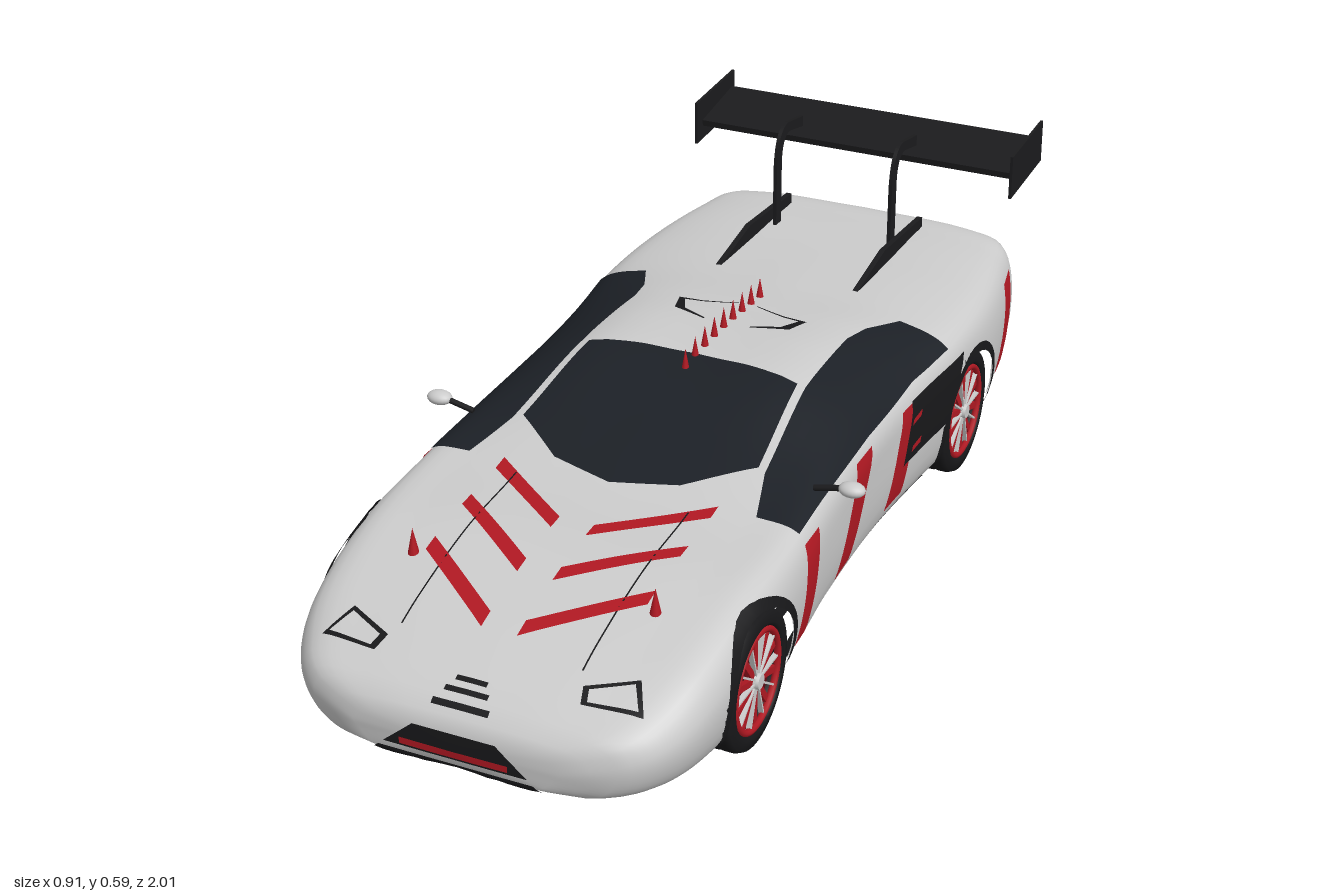
import * as THREE from 'three';

const TWO = THREE.DoubleSide;
const mat = (color, side = THREE.FrontSide) => new THREE.MeshStandardMaterial({ color, side });
const GREY = mat(0xcccccc), BLACK = mat(0x1b1b1d), RED = mat(0xb01822), DARK_RED = mat(0x5c0d14);
const GLASS2 = mat(0x1c2026, TWO), BLACK2 = mat(0x18181a, TWO), RED2 = mat(0xb01822, TWO), GREY2 = mat(0xcccccc, TWO);

// Body stations: z, half width, bottom, shoulder x/y, roof edge x/y, centre top
const STATIONS = [
  [1.0, .20, .085, .18, .145, .12, .157, .16],
  [.97, .30, .07, .28, .175, .18, .188, .191],
  [.9, .365, .06, .335, .205, .22, .222, .228],
  [.8, .397, .055, .365, .245, .24, .26, .265],
  [.62, .41, .05, .378, .288, .27, .302, .304],
  [.42, .405, .05, .38, .303, .28, .317, .322],
  [.25, .391, .05, .374, .313, .258, .349, .358],
  [.05, .383, .05, .371, .318, .228, .397, .404],
  [-.1, .385, .05, .372, .32, .222, .402, .41],
  [-.25, .396, .05, .38, .325, .235, .389, .40],
  [-.4, .41, .05, .392, .33, .28, .368, .385],
  [-.6, .41, .055, .385, .332, .29, .362, .372],
  [-.8, .38, .07, .352, .333, .27, .358, .366],
  [-.895, .345, .092, .32, .327, .24, .348, .355],
  [-.915, .29, .12, .27, .30, .2, .318, .323],
];
const WHEELS = [.62, -.47], AXLE = .135;

// Smooth interpolation of every station column at z
function sectionAt(z) {
  const S = STATIONS, n = S.length;
  let i = 0;
  while (i < n - 2 && z < S[i + 1][0]) i++;
  const h = S[i + 1][0] - S[i][0], t = (z - S[i][0]) / h;
  const slope = (k, c) => {
    const a = S[Math.max(k - 1, 0)], b = S[Math.min(k + 1, n - 1)];
    return (b[c] - a[c]) / (b[0] - a[0]);
  };
  return S[i].map((v, c) => (2 * t ** 3 - 3 * t * t + 1) * v + (t ** 3 - 2 * t * t + t) * h * slope(i, c)
    + (3 * t * t - 2 * t ** 3) * S[i + 1][c] + (t ** 3 - t * t) * h * slope(i + 1, c));
}

// Closed lofted shell
function bodyGeometry() {
  const rows = 140, half = 30, ring = half * 2, pos = [], idx = [];
  for (let i = 0; i <= rows; i++) {
    const z = 1 - 1.915 * i / rows;
    const [, W, B, sx, sy, rx, ry, T] = sectionAt(z);
    const widest = B + (sy - B) * .68;
    const pts = new THREE.CatmullRomCurve3([[0, B], [.8 * W, B], [.94 * W, B + .025], [W, widest], [sx, sy], [rx, ry], [0, T]]
      .map(([x, y]) => new THREE.Vector3(x, y, 0))).getPoints(half);
    for (let j = 0; j < ring; j++) {
      const p = pts[j <= half ? j : ring - j];
      pos.push(j <= half ? p.x : -p.x, p.y, z);
    }
  }
  for (let i = 0; i < rows; i++) for (let j = 0; j < ring; j++) {
    const a = i * ring + j, b = i * ring + (j + 1) % ring, c = a + ring, d = b + ring;
    idx.push(a, c, b, b, c, d);
  }
  const last = rows * ring, mid = pos.length / 3;
  pos.push(0, .122, 1.002, 0, .21, -.917);
  for (let j = 0; j < ring; j++) {
    const k = (j + 1) % ring;
    idx.push(mid, j, k, mid + 1, last + k, last + j);
  }
  const g = new THREE.BufferGeometry();
  g.setAttribute('position', new THREE.Float32BufferAttribute(pos, 3));
  g.setIndex(idx);
  g.computeVertexNormals();
  return g;
}

// The same shell with open wheel arches
function cutArches(g) {
  const out = g.clone(), p = g.attributes.position, src = g.index.array, keep = [];
  for (let i = 0; i < src.length; i += 3) {
    const v = [src[i], src[i + 1], src[i + 2]];
    const mean = f => (f(v[0]) + f(v[1]) + f(v[2])) / 3;
    const x = Math.abs(mean(k => p.getX(k))), y = mean(k => p.getY(k)), z = mean(k => p.getZ(k));
    if (!(x > .27 && WHEELS.some(w => Math.hypot(z - w, y - AXLE) < .142))) keep.push(...v);
  }
  out.setIndex(keep);
  return out;
}

export function createModel() {
  const root = new THREE.Group();
  const add = (name, geo, m, x = 0, y = 0, z = 0, parent = root) => {
    const o = new THREE.Mesh(geo, m);
    o.name = name;
    o.position.set(x, y, z);
    parent.add(o);
    return o;
  };
  const shell = bodyGeometry();
  add('body', cutArches(shell), GREY);

  // Panels laid onto the body: two edges are projected along an axis and joined by a grid
  const target = new THREE.Mesh(shell, GREY), ray = new THREE.Raycaster();
  const V = (x, y, z) => new THREE.Vector3(x, y, z);
  const AXES = {
    top: (u, v) => [V(u, 2, v), V(0, -1, 0)], under: (u, v) => [V(u, -2, v), V(0, 1, 0)],
    side: (u, v) => [V(2, v, u), V(-1, 0, 0)],
    front: (u, v) => [V(u, v, 2), V(0, 0, -1)], back: (u, v) => [V(u, v, -2), V(0, 0, 1)],
  };
  function panel(name, axis, A, B, m, { lift = .003, mirror = true, nu = 6, nv = 6 } = {}) {
    const pos = [], idx = [], cols = (A.length - 1) * nu;
    let prev = V(0, .2, 0);
    for (let i = 0; i <= cols; i++) {
      const s = Math.min(Math.floor(i / nu), A.length - 2), t = i / nu - s;
      const at = (E, c) => E[s][c] + (E[s + 1][c] - E[s][c]) * t;
      for (let j = 0; j <= nv; j++) {
        const mix = c => at(A, c) + (at(B, c) - at(A, c)) * j / nv;
        ray.set(...AXES[axis](mix(0), mix(1)));
        const hit = ray.intersectObject(target)[0];
        if (hit) prev = hit.point.clone().addScaledVector(hit.face.normal, lift);
        pos.push(prev.x, prev.y, prev.z);
        if (i < cols && j < nv) {
          const a = i * (nv + 1) + j, c = a + nv + 1;
          idx.push(a, a + 1, c, a + 1, c + 1, c);
        }
      }
    }
    const g = new THREE.BufferGeometry();
    g.setAttribute('position', new THREE.Float32BufferAttribute(pos, 3));
    g.setIndex(idx);
    g.computeVertexNormals();
    add(name, g, m);
    if (mirror) add(name, g, m).scale.x = -1;
  }
  const bar = (name, axis, w0, y0, w1, y1, m, lift = .003) =>
    panel(name, axis, [[-w0, y0], [w0, y0]], [[-w1, y1], [w1, y1]], m, { lift, mirror: false, nu: 16, nv: 3 });

  // Glass
  panel('windscreen', 'top', [[-.222, .03], [-.11, .015], [0, .01], [.11, .015], [.222, .03]],
    [[-.245, .27], [-.13, .365], [0, .4], [.13, .365], [.245, .27]], GLASS2, { mirror: false, nv: 16 });
  panel('sideWindow', 'top', [[.295, .395], [.262, .28], [.238, .03], [.233, -.2], [.245, -.27], [.285, -.36]],
    [[.378, .395], [.374, .28], [.369, .03], [.372, -.2], [.38, -.27], [.39, -.36]], GLASS2, { nv: 10 });

  // Side stripes, intake and sill
  for (const [a, b, c, d, top, low] of [[.40, .33, .46, .40, .29, .11], [.115, .035, .22, .14, .305, .11],
    [-.12, -.18, -.055, -.14, .30, .11], [-.74, -.82, -.645, -.725, .305, .14]])
    panel('sideStripe', 'side', [[a, top], [c, low]], [[b, top], [d, low]], RED2, { nu: 12, nv: 4 });
  panel('sideIntake', 'side', [[-.165, .305], [-.125, .18]], [[-.41, .305], [-.325, .18]], BLACK2, { lift: .005 });
  for (const y of [.21, .27])
    panel('intakeSlat', 'side', [[-.16, y], [-.2, y + .005]], [[-.155, y - .012], [-.195, y - .008]], RED2, { lift: .007 });
  panel('sill', 'side', [[-.3, .056], [.44, .056]], [[-.3, .066], [.44, .066]], BLACK2, { nu: 20, nv: 2 });

  // Bonnet stripes, shut lines, headlights and roof scoops
  for (const z of [.395, .525, .66])
    panel('bonnetStripe', 'top', [[.22, z], [.035, z + .135]], [[.22, z + .035], [.035, z + .17]], RED2, { nu: 12, nv: 3 });
  panel('bonnetLine', 'top', [[.175, .43], [.175, .86]], [[.178, .43], [.178, .86]], BLACK2, { nu: 24, nv: 1 });
  panel('headlightFrame', 'top', [[.19, .885], [.28, .845]], [[.2, .917], [.312, .905]], BLACK2, { lift: .002 });
  panel('headlight', 'top', [[.203, .889], [.275, .856]], [[.21, .911], [.3, .899]], GREY2, { lift: .005 });
  panel('roofScoop', 'top', [[.02, -.245], [.09, -.22], [.14, -.215], [.125, -.16], [.05, -.135]],
    [[.02, -.242], [.09, -.215], [.125, -.21], [.105, -.165], [.05, -.14]], BLACK2, { nv: 2 });

  // Nose, tail and underside trim
  bar('noseGrille', 'front', .14, .1, .08, .152, BLACK2);
  bar('noseBar', 'front', .105, .107, .105, .12, RED2, .007);
  bar('lowerGrille', 'front', .165, .078, .15, .09, BLACK2);
  for (const [z, w] of [[.925, .03], [.945, .042], [.968, .055]]) bar('noseVent', 'top', w, z, w, z + .009, BLACK2);
  bar('tailPanel', 'back', .3, .285, .285, .312, BLACK2, .004);
  bar('tailLight', 'back', .285, .298, .285, .306, RED2, .007);
  for (const y of [.14, .175]) bar('rearVent', 'back', .24, y, .24, y + .016, BLACK2, .004);
  panel('underStrip', 'under', [[.28, -.25], [.28, .4]], [[.305, -.28], [.305, .43]], BLACK2, { nu: 16, nv: 2 });
  for (const x of [.04, .12])
    panel('underSlot', 'under', [[x, -.5], [x, -.42]], [[x + .012, -.5], [x + .012, -.42]], BLACK2, { nv: 1 });

  // Wheels, with the outer face towards +x
  const tyre = new THREE.LatheGeometry([[.02, -.055], [.11, -.055], [.128, -.05], [.133, -.04], [.133, -.022], [.127, -.02],
    [.127, -.014], [.133, -.012], [.133, .012], [.127, .014], [.127, .02], [.133, .022], [.133, .04], [.128, .052],
    [.108, .056], [.1, .05], [.098, .03]].map(([r, y]) => new THREE.Vector2(r, y)), 48);
  const well = new THREE.CylinderGeometry(.146, .146, .13, 40, 1, true, -.5, Math.PI + 1).rotateZ(Math.PI / 2);
  for (const z of WHEELS) {
    for (const s of [1, -1]) {
      const wheel = new THREE.Group();
      wheel.name = 'wheel';
      wheel.position.set(s * .347, AXLE, z);
      wheel.rotation.y = s > 0 ? 0 : Math.PI;
      root.add(wheel);
      add('tyre', tyre, BLACK2, 0, 0, 0, wheel).rotation.z = -Math.PI / 2;
      add('rimBack', new THREE.CylinderGeometry(.099, .099, .01, 40), DARK_RED, .028, 0, 0, wheel).rotation.z = Math.PI / 2;
      add('rimRing', new THREE.TorusGeometry(.095, .007, 8, 48), RED, .048, 0, 0, wheel).rotation.y = Math.PI / 2;
      for (let k = 0; k < 20; k++) {
        const grey = k % 2, spoke = new THREE.BoxGeometry(.01, .078, grey ? .004 : .013).translate(0, .054, 0);
        add('spoke', spoke, grey ? GREY : RED, grey ? .046 : .042, 0, 0, wheel).rotation.x = k * Math.PI / 10;
      }
      add('hub', new THREE.CylinderGeometry(.014, .019, .024, 20), GREY, .045, 0, 0, wheel).rotation.z = -Math.PI / 2;
      add('wheelWell', well, BLACK2, s * .305, AXLE, z);
    }
    const arc = r => Array.from({ length: 25 }, (_, i) => {
      const a = -.35 + (Math.PI + .7) * i / 24;
      return [z + r * Math.cos(a), AXLE + r * Math.sin(a)];
    });
    panel('archLip', 'side', arc(.134), arc(.153), BLACK2, { nu: 2, nv: 2, lift: .004 });
  }

  // Roof spikes
  for (let i = 0; i < 9; i++) {
    const z = .06 - i * .0455;
    add('roofSpike', new THREE.ConeGeometry(.008, .045, 12), RED, 0, sectionAt(z)[7] + .02, z);
  }

  // Wing supports, deck fins and end plates are cut from profiles in (-z, y)
  const slab = (name, shape, x, t) => add(name,
    new THREE.ExtrudeGeometry(shape, { depth: t, bevelEnabled: false, curveSegments: 16 })
      .translate(0, 0, -t / 2).rotateY(Math.PI / 2), BLACK, x);
  const poly = p => new THREE.Shape(p.map(([a, b]) => new THREE.Vector2(a, b)));
  const hook = new THREE.Shape();
  hook.moveTo(.695, .36).lineTo(.695, .5).quadraticCurveTo(.7, .588, .755, .588).lineTo(.84, .572).lineTo(.84, .548)
    .lineTo(.765, .565).quadraticCurveTo(.722, .565, .722, .5).lineTo(.722, .36).closePath();
  for (const s of [1, -1]) {
    slab('wingSupport', hook, s * .133, .008);
    slab('deckFin', poly([[.38, .365], [.83, .35], [.83, .386], [.6, .404]]), s * .155, .012);
    slab('endPlate', poly([[.795, .482], [1, .492], [.998, .586], [.795, .578]]), s * .367, .006);

    // Bonnet spikes and door mirrors
    add('bonnetSpike', new THREE.ConeGeometry(.014, .068, 16), RED, s * .24, .302, .705);
    add('mirror', new THREE.SphereGeometry(1, 20, 14), GREY, s * .43, .345, .268).scale.set(.026, .014, .02);
    add('mirrorArm', new THREE.CylinderGeometry(.006, .006, .06, 10), BLACK, s * .385, .338, .268).rotation.z = s * -1.35;
  }

  // Wing blade
  add('wing', new THREE.BoxGeometry(.73, .014, .165), BLACK, 0, .533, -.905).rotation.x = .14;
  return root;
}
